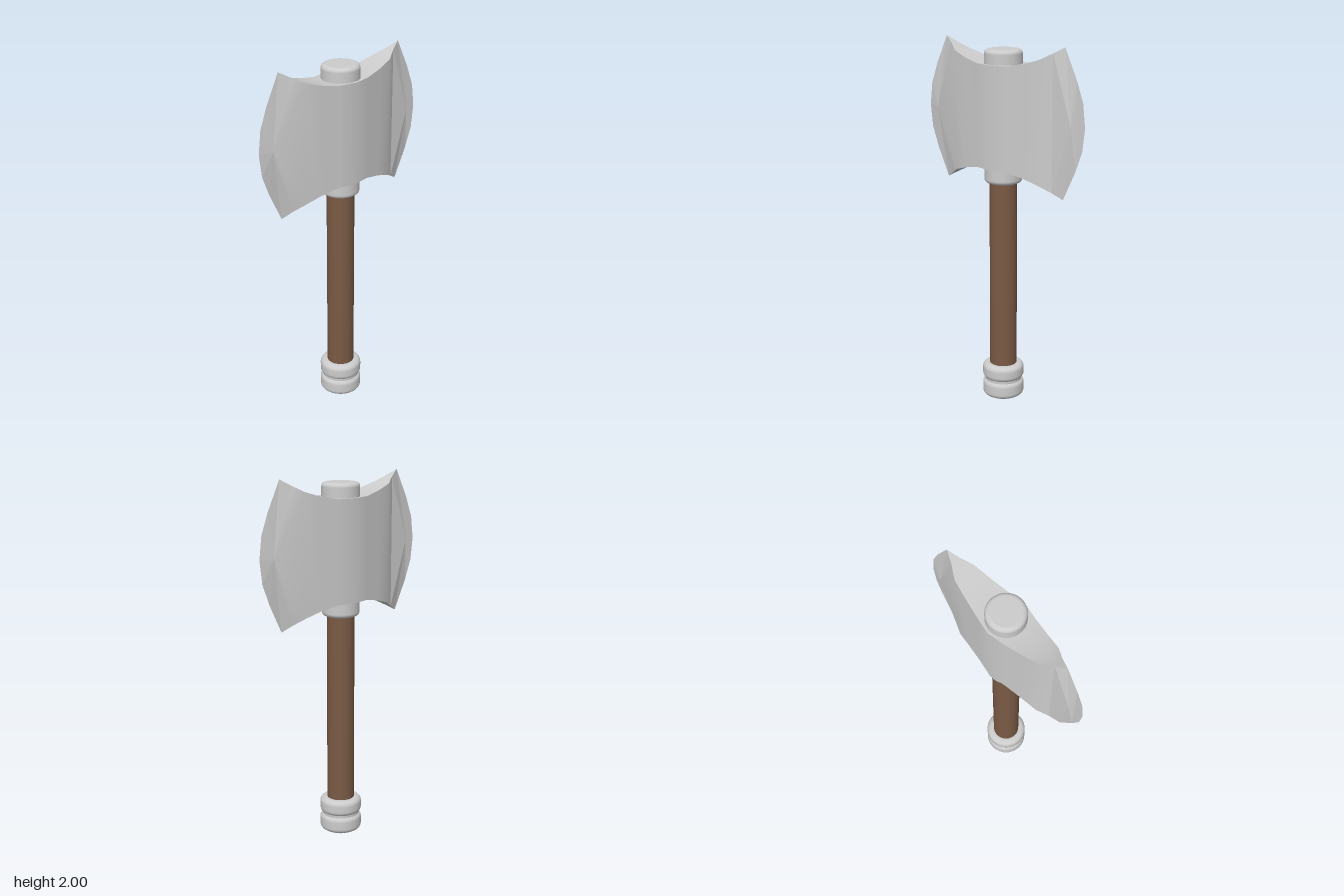
import * as THREE from 'three';
import { toCreasedNormals } from 'three/addons/utils/BufferGeometryUtils.js';

const MID = 1.607; // height of the blade's centre line
const grey = new THREE.MeshStandardMaterial({ color: 0xcccccc });
const wood = new THREE.MeshStandardMaterial({ color: 0x7a5a45 });

// Upper outline of the blade body: [half thickness, y, z]
const outline = [
  [0.117, 1.885, 0], [0.097, 1.885, 0.1], [0.078, 1.905, 0.2],
  [0.06, 1.933, 0.29], [0.025, 1.967, 0.35], [0, 2, 0.407],
];
const ridge = [0.021, MID, 0.465]; // where the bevel begins at mid height
// Cutting edge from upper tip to lower tip
const upperEdge = [[0, 2, 0.407], [0, 1.84, 0.484], [0, 1.73, 0.525]];
const low = ([x, y, z]) => [x, 2 * MID - y, z];
const edge = [...upperEdge, [0, MID, 0.54], ...upperEdge.map(low).reverse()];

// Collects triangles; a quarter of the blade is written once and mirrored
function triangles(write) {
  const pos = [];
  for (const sx of [1, -1]) for (const sz of [1, -1]) {
    const folded = sx * sz < 0;
    const put = (p) => pos.push(p[0] * sx, p[1], p[2] * sz);
    const tri = (a, b, c) => (folded ? [a, c, b] : [a, b, c]).forEach(put);
    write(tri, folded);
  }
  const g = new THREE.BufferGeometry();
  g.setAttribute('position', new THREE.Float32BufferAttribute(pos, 3));
  g.computeVertexNormals();
  return g;
}

function bladeBody() {
  return toCreasedNormals(triangles((tri, folded) => {
    const quad = (a, b, c, d) => { tri(a, b, c); tri(a, c, d); };
    const centre = (p) => [0, p[1], p[2]];
    for (let i = 0; i < 5; i++) {
      const a = outline[i], b = outline[i + 1];
      // Broad cheek
      if (i < 3) quad(low(a), a, b, low(b));
      // Upper and lower rims
      tri(centre(a), centre(b), a);
      tri(low(centre(a)), low(a), low(centre(b)));
      if (i < 4) {
        tri(centre(b), b, a);
        tri(low(centre(b)), low(a), low(b));
      }
    }
    // Tapering end of the cheek, hollowed on two opposite quarters
    const a = outline[3], e = outline[4];
    if (folded) {
      quad(low(a), a, e, low(e));
      tri(low(e), e, ridge);
    } else {
      tri(low(a), a, ridge);
      tri(a, e, ridge);
      tri(low(a), ridge, low(e));
    }
  }), 0.45);
}

function bladeBevel() {
  return triangles((tri, folded) => {
    const e = outline[4], n = edge.length;
    tri(e, edge[0], ridge);
    tri(low(e), ridge, edge[n - 1]);
    if (folded) {
      // Bevel stops short and leaves a flat sliver at the edge
      tri(edge[0], edge[1], ridge);
      tri(ridge, edge[n - 2], edge[n - 1]);
      tri(ridge, edge[1], edge[n - 2]);
      for (let i = 1; i < n - 3; i++) tri(edge[i], edge[i + 1], edge[n - 2]);
    } else {
      for (let i = 0; i < n - 1; i++) tri(edge[i], edge[i + 1], ridge);
    }
  });
}

// Profile of a drum with rounded rims, from bottom to top
function drum(radius, y0, y1, r, innerBottom = 0, innerTop = 0) {
  const pts = [new THREE.Vector2(innerBottom, y0), new THREE.Vector2(radius - r - 0.002, y0)];
  for (let i = 0; i <= 12; i++) {
    const top = i > 6;
    const a = ((top ? i - 7 : i - 6) / 6) * Math.PI / 2;
    const t = top ? Math.min(a * 1.2, Math.PI / 2) : a;
    pts.push(new THREE.Vector2(radius - r + r * Math.cos(t), (top ? y1 - r : y0 + r) + r * Math.sin(t)));
  }
  pts.push(new THREE.Vector2(radius - r - 0.002, y1), new THREE.Vector2(innerTop, y1));
  return pts;
}

export function createModel() {
  const model = new THREE.Group();
  const add = (name, geometry, material = grey) => {
    const mesh = new THREE.Mesh(geometry, material);
    mesh.name = name;
    model.add(mesh);
    return mesh;
  };
  const lathe = (pts) => new THREE.LatheGeometry(pts, 48);

  // Wooden shaft
  add('handle', new THREE.CylinderGeometry(0.075, 0.075, 1.2, 48), wood).position.y = 0.7;

  // Pommel: two rounded rings with a groove between them
  add('pommelLowerRing', lathe(drum(0.115, 0.005, 0.102, 0.028)));
  add('pommelGroove', new THREE.CylinderGeometry(0.102, 0.102, 0.04, 48)).position.y = 0.105;
  add('pommelUpperRing', lathe(drum(0.115, 0.108, 0.197, 0.028)));
  add('pommelBase', new THREE.CylinderGeometry(0.085, 0.085, 0.01, 48)).position.y = 0.005;

  // Collar running through the blade
  add('collar', lathe(drum(0.102, 1.245, 1.96, 0.022)));

  // Double blade
  add('bladeBody', bladeBody());
  add('bladeBevel', bladeBevel());
  return model;
}
